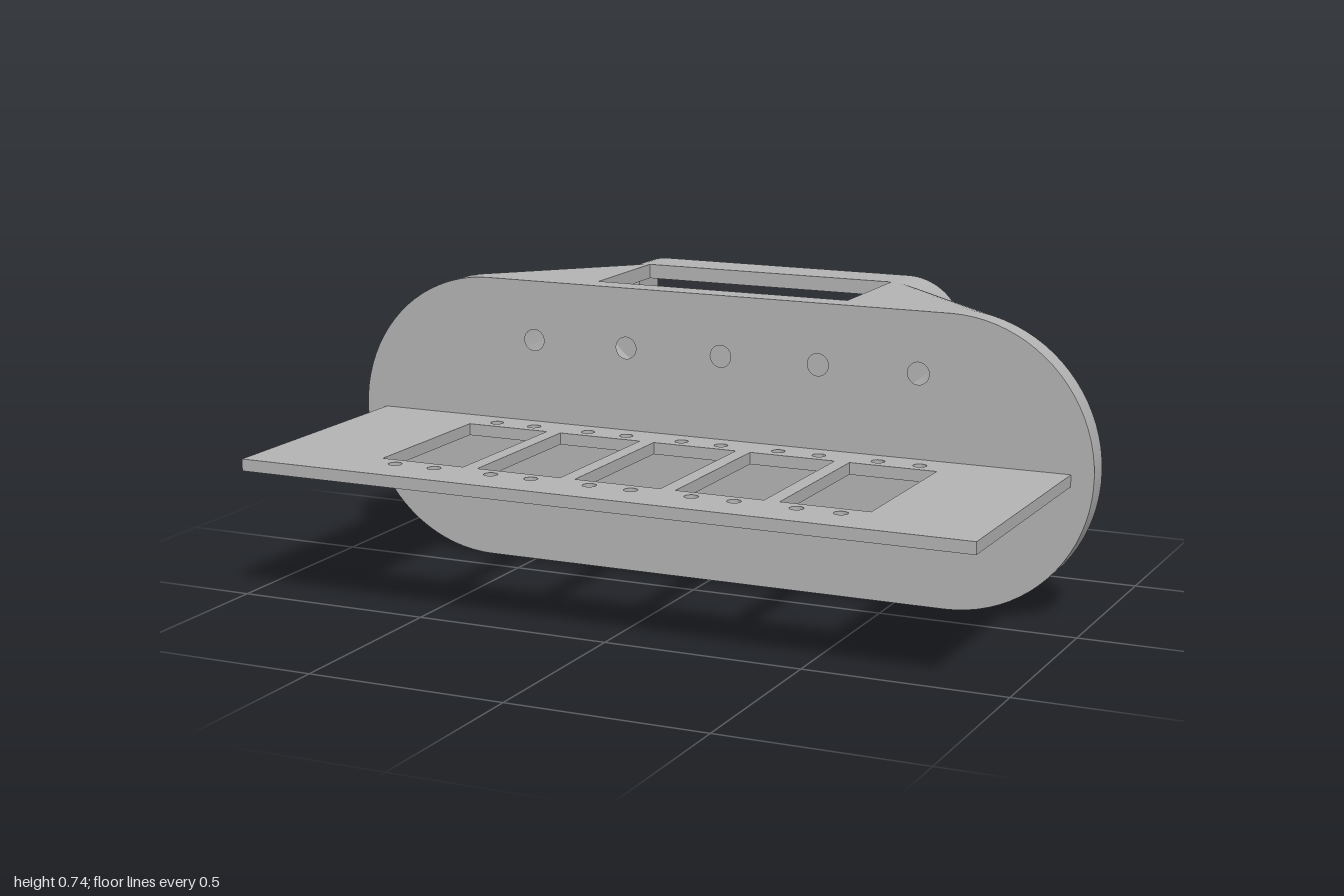
import * as THREE from 'three';
import { toCreasedNormals } from 'three/addons/utils/BufferGeometryUtils.js';

const WALL = 0.037;
const TOP = 0.737;
const Z_FRONT = -0.1, Z_PLATE = -0.164, Z_COLLAR = -0.469, Z_BACK = -0.585;
const BIG = { cx: 0.632, cy: 0.3685, r: 0.3685 };
const SMALL = { cx: 0.344, cy: 0.581, r: 0.156 };

// Rounded-end outline, open along its top edge, running clockwise
function outline({ cx, cy, r }, n = 40) {
  const pts = [];
  for (const side of [1, -1]) {
    for (let i = 0; i <= n; i++) {
      const a = side * Math.PI / 2 - Math.PI * i / n;
      pts.push(new THREE.Vector2(side * cx + r * Math.cos(a), cy + r * Math.sin(a)));
    }
  }
  return pts;
}

function rectPath(x0, x1, y0, y1) {
  return new THREE.Path([[x0, y0], [x1, y0], [x1, y1], [x0, y1]].map(p => new THREE.Vector2(...p)));
}

function circlePath(x, y, r) {
  return new THREE.Path().absarc(x, y, r, 0, Math.PI * 2, true);
}

function extrude(points, holes, depth) {
  const shape = new THREE.Shape(points);
  shape.holes.push(...holes);
  const geo = new THREE.ExtrudeGeometry(shape, { depth, bevelEnabled: false, curveSegments: 16 });
  return toCreasedNormals(geo, 0.5);
}

// Horizontal slab whose outline is given in x and z, with its upper face at y
function slab(points, holes, thickness, y) {
  return extrude(points, holes, thickness).rotateX(Math.PI / 2).translate(0, y, 0);
}

// Surface joining the large and small outlines
function loft(a, b, inward) {
  const front = outline(a), back = outline(b), pos = [];
  const tri = (p, q, r) => {
    for (const v of inward ? [p, r, q] : [p, q, r]) pos.push(v.x, v.y, v.z);
  };
  const at = (p, z) => new THREE.Vector3(p.x, p.y, z);
  for (let i = 0; i < front.length - 1; i++) {
    const f0 = at(front[i], Z_PLATE), f1 = at(front[i + 1], Z_PLATE);
    const b0 = at(back[i], Z_COLLAR), b1 = at(back[i + 1], Z_COLLAR);
    tri(f0, f1, b0);
    tri(f1, b1, b0);
  }
  const geo = new THREE.BufferGeometry();
  geo.setAttribute('position', new THREE.Float32BufferAttribute(pos, 3));
  return toCreasedNormals(geo, 0.5);
}

export function createModel() {
  const group = new THREE.Group();
  const grey = new THREE.MeshStandardMaterial({ color: 0xb3b3b3 });
  grey.name = 'grey';
  const add = (name, geo) => {
    const mesh = new THREE.Mesh(geo, grey);
    mesh.name = name;
    group.add(mesh);
  };

  // Upright front plate with a row of five holes
  const plateHoles = [];
  for (let i = -2; i <= 2; i++) plateHoles.push(circlePath(0.028 + i * 0.2625, 0.583, 0.028));
  add('frontPlate', extrude(outline(BIG), plateHoles, Z_FRONT - Z_PLATE).translate(0, 0, Z_PLATE));

  // Hollow tapering housing
  const inset = o => ({ ...o, r: o.r - WALL });
  add('housingOuter', loft(BIG, SMALL, false));
  add('housingInner', loft(inset(BIG), inset(SMALL), true));

  // Flat housing roof with its rectangular opening
  const roof = [[-BIG.cx, Z_PLATE], [BIG.cx, Z_PLATE], [SMALL.cx, Z_COLLAR], [-SMALL.cx, Z_COLLAR]];
  add('housingRoof', slab(roof.map(p => new THREE.Vector2(...p)),
    [rectPath(-0.343, 0.341, Z_COLLAR + 0.001, Z_PLATE - 0.001)], WALL, TOP));

  // Rear collar with a slot and three screw holes
  const collarHoles = [
    rectPath(-0.375, 0.315, 0.555, TOP - WALL),
    circlePath(-0.405, 0.585, 0.026),
    circlePath(0.365, 0.585, 0.026),
    circlePath(-0.03, 0.525, 0.026),
  ];
  add('rearCollar', extrude(outline(SMALL), collarHoles, Z_COLLAR - Z_BACK).translate(0, 0, Z_BACK));

  // Shelf with five windows, each with four screw holes
  const shelfHoles = [];
  for (let i = -2; i <= 2; i++) {
    const x = 0.003 + i * 0.263;
    shelfHoles.push(rectPath(x - 0.112, x + 0.112, 0.001, 0.434));
    for (const dx of [-0.054, 0.054]) {
      for (const z of [-0.04, 0.473]) shelfHoles.push(circlePath(x + dx, z, 0.017));
    }
  }
  const shelf = [[-0.943, Z_FRONT], [0.943, Z_FRONT], [0.943, 0.585], [-0.943, 0.585]];
  add('shelf', slab(shelf.map(p => new THREE.Vector2(...p)), shelfHoles, 0.03, 0.37));

  return group;
}
